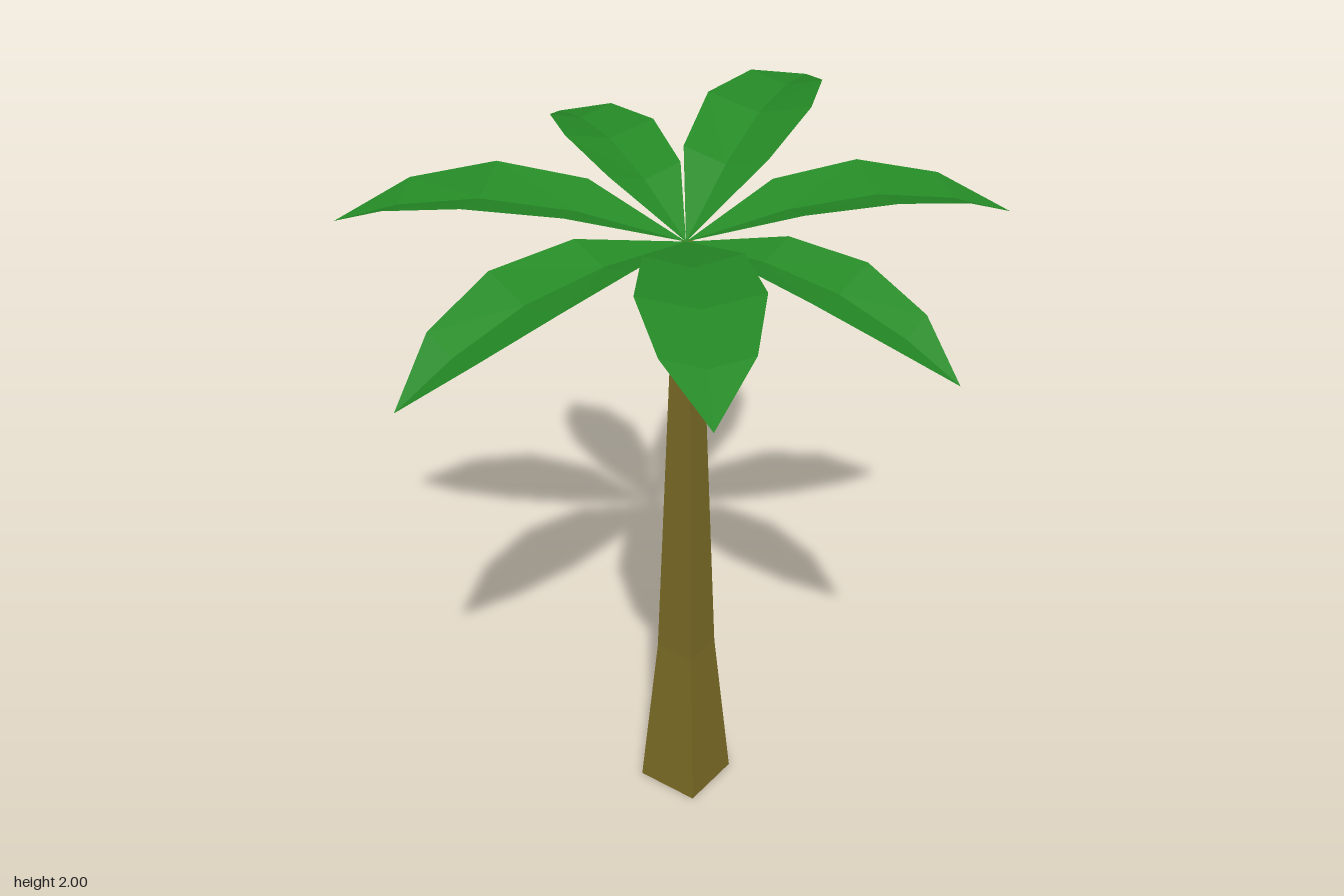
import * as THREE from 'three';

const CROWN = new THREE.Vector3(-0.005, 1.795, 0.03);

// Tip of each frond: x, y, z
const TIPS = [
  [0.005, 1.635, 0.83],
  [0.71, 1.77, 0.585],
  [0.86, 1.95, -0.17],
  [0.34, 1.885, -0.67],
  [-0.41, 1.77, -0.83],
  [-0.86, 1.615, -0.19],
  [-0.70, 1.77, 0.61],
];

// Cross-sections of a frond of length 1: distance, half width, edge height, midrib height
const SECTIONS = [
  [0.30, 0.136, 0.108, 0.070],
  [0.57, 0.169, 0.133, 0.092],
  [0.81, 0.120, 0.092, 0.060],
];

// Folded frond pointing along +z, with raised edges and a sunken midrib
function frondGeometry(length, rise) {
  const point = (x, y, z) => [x * length, y * length + rise * z, z * length];
  const base = point(0, 0, 0);
  const tip = point(0, 0, 1);
  const positions = [];
  const triangle = (a, b, c) => positions.push(...a, ...b, ...c);
  for (const side of [1, -1]) {
    const face = (a, b, c) => (side > 0 ? triangle(a, b, c) : triangle(a, c, b));
    const rows = SECTIONS.map(([z, w, edge, mid]) => ({
      mid: point(0, mid, z),
      edge: point(side * w, edge, z),
    }));
    face(base, rows[0].mid, rows[0].edge);
    for (let i = 0; i < rows.length - 1; i++) {
      const a = rows[i], b = rows[i + 1];
      face(a.mid, b.mid, b.edge);
      face(a.mid, b.edge, a.edge);
    }
    const last = rows[rows.length - 1];
    face(last.mid, tip, last.edge);
  }
  const geometry = new THREE.BufferGeometry();
  geometry.setAttribute('position', new THREE.Float32BufferAttribute(positions, 3));
  geometry.computeVertexNormals();
  return geometry;
}

export function createModel() {
  const model = new THREE.Group();
  model.name = 'palmTree';

  const bark = new THREE.MeshStandardMaterial({ color: 0x7b6c26, flatShading: true });
  bark.name = 'bark brown';
  const leaf = new THREE.MeshStandardMaterial({ color: 0x258a26, flatShading: true, side: THREE.DoubleSide });
  leaf.name = 'leaf green';

  // Square tapering trunk: half width and height
  const profile = [[0, 0], [0.097, 0], [0.06, 0.5], [0.033, 1.45], [0.016, 1.795], [0, 1.795]]
    .map(([half, y]) => new THREE.Vector2(half * Math.SQRT2, y));
  const trunk = new THREE.Mesh(new THREE.LatheGeometry(profile, 4, Math.PI / 4), bark);
  trunk.name = 'trunk';
  trunk.position.set(-0.005, 0, 0.035);
  model.add(trunk);

  // Fronds fanning out from the crown
  const fronds = new THREE.Group();
  fronds.name = 'fronds';
  fronds.position.copy(CROWN);
  TIPS.forEach((tip, i) => {
    const d = new THREE.Vector3(...tip).sub(CROWN);
    const frond = new THREE.Mesh(frondGeometry(Math.hypot(d.x, d.z), d.y), leaf);
    frond.name = `frond${i + 1}`;
    frond.rotation.y = Math.atan2(d.x, d.z);
    fronds.add(frond);
  });
  model.add(fronds);

  return model;
}
